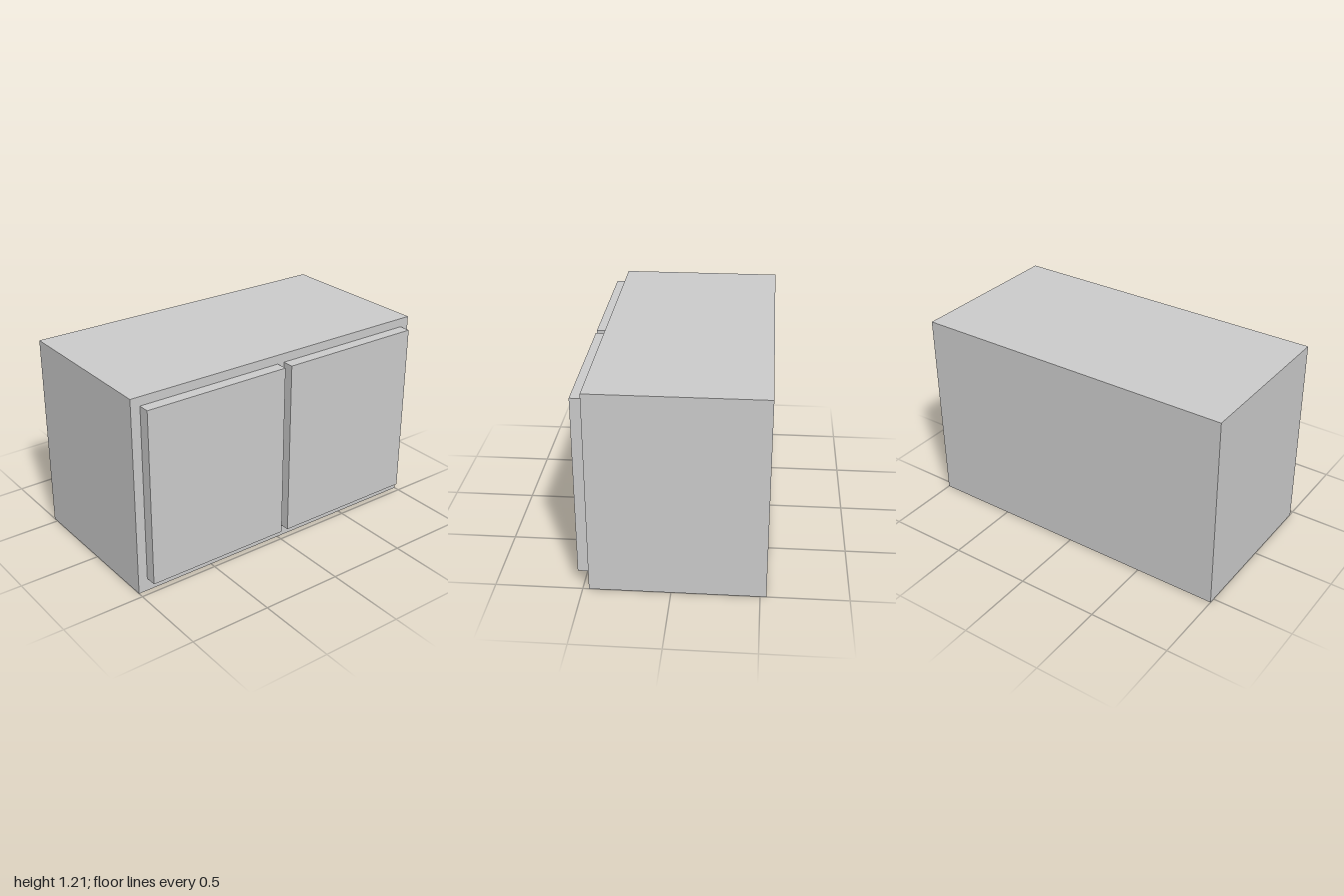
import * as THREE from 'three';

const material = new THREE.MeshStandardMaterial({ color: 0xcccccc, flatShading: true });

// Box given by its minimum and maximum corners
function box(name, min, max) {
  const [w, h, d] = max.map((v, i) => v - min[i]);
  const mesh = new THREE.Mesh(new THREE.BoxGeometry(w, h, d), material);
  mesh.position.set(min[0] + w / 2, min[1] + h / 2, min[2] + d / 2);
  mesh.name = name;
  return mesh;
}

export function createModel() {
  const cabinet = new THREE.Group();
  cabinet.name = 'cabinet';

  const back = -0.535, face = 0.465, front = 0.535;

  // Carcass
  cabinet.add(box('cabinetBody', [-1, 0, back], [1, 1.214, face]));

  // Two door panels standing proud of the front, with a narrow gap between
  cabinet.add(box('rightDoor', [-0.942, 0.08, face], [-0.025, 1.16, front]));
  cabinet.add(box('leftDoor', [0.021, 0.08, face], [0.942, 1.16, front]));

  return cabinet;
}
